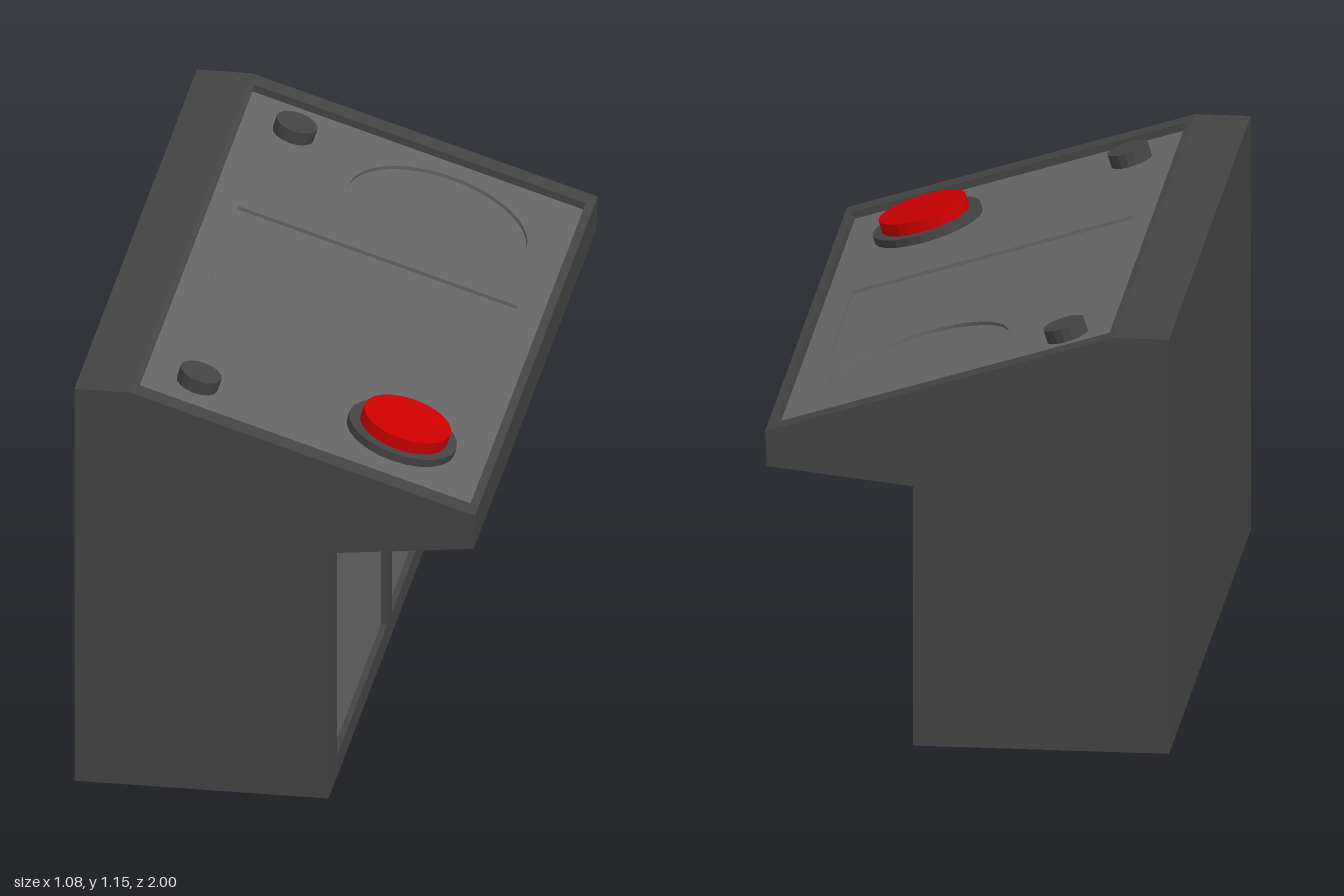
import * as THREE from 'three';

const body = new THREE.MeshStandardMaterial({ name: 'dark grey body', color: 0x444444 });
const light = new THREE.MeshStandardMaterial({ name: 'light grey panel', color: 0x666666 });
const red = new THREE.MeshStandardMaterial({ name: 'red button', color: 0xcc0000 });
body.flatShading = light.flatShading = red.flatShading = true;

// Sloped console top: s runs down the slope, d is height above it
const TOP = new THREE.Vector2(-0.39, 1.15), LIP = new THREE.Vector2(0.537, 0.86);
const ANGLE = Math.atan2(TOP.y - LIP.y, LIP.x - TOP.x);
const onSlope = (s, d) => [
  TOP.x + s * Math.cos(ANGLE) + d * Math.sin(ANGLE),
  TOP.y - s * Math.sin(ANGLE) + d * Math.cos(ANGLE),
];
const S0 = 0.016, S1 = 0.948, PANEL_Z = 0.94;
const FLOOR = -0.035, PANEL_DEPTH = -0.02;
const FRONT_X = 0.143, DOOR_DEPTH = 0.025;

// Side outline, optionally notched for the control panel and for a door
function outline(panelNotch, doorNotch) {
  const pts = [[-0.54, 0], [FRONT_X, 0]];
  if (doorNotch) {
    const x = FRONT_X - DOOR_DEPTH;
    pts.push([FRONT_X, 0.06], [x, 0.06], [x, 0.66], [FRONT_X, 0.66]);
  }
  pts.push([FRONT_X, 0.72], [0.533, 0.763], [LIP.x, LIP.y]);
  if (panelNotch) pts.push(onSlope(S1, 0), onSlope(S1, FLOOR), onSlope(S0, FLOOR), onSlope(S0, 0));
  pts.push([TOP.x, TOP.y], [-0.54, 1.15]);
  return new THREE.Shape(pts.map(p => new THREE.Vector2(...p)));
}

function add(parent, name, geometry, material) {
  const mesh = new THREE.Mesh(geometry, material);
  mesh.name = name;
  parent.add(mesh);
  return mesh;
}

const rect = (Kind, x0, x1, y0, y1) => new Kind([
  new THREE.Vector2(x0, y0), new THREE.Vector2(x1, y0),
  new THREE.Vector2(x1, y1), new THREE.Vector2(x0, y1),
]);

export function createModel() {
  const model = new THREE.Group();
  model.name = 'controlConsole';

  // Cabinet, in slices across its width
  const cabinet = new THREE.Group();
  cabinet.name = 'cabinet';
  model.add(cabinet);
  const doors = [[-0.86, -0.04], [0.04, 0.86]];
  const cuts = [-1, -PANEL_Z, ...doors.flat(), PANEL_Z, 1];
  for (let i = 0; i < cuts.length - 1; i++) {
    const mid = (cuts[i] + cuts[i + 1]) / 2;
    const shape = outline(Math.abs(mid) < PANEL_Z, doors.some(([a, b]) => mid > a && mid < b));
    const geo = new THREE.ExtrudeGeometry(shape, { depth: cuts[i + 1] - cuts[i], bevelEnabled: false });
    add(cabinet, 'cabinetSlice', geo.translate(0, 0, cuts[i]), body);
  }

  // Recessed doors
  for (const [a, b] of doors) {
    const door = add(model, 'door', new THREE.BoxGeometry(0.008, 0.6, b - a), light);
    door.position.set(FRONT_X - DOOR_DEPTH + 0.004, 0.36, (a + b) / 2);
  }

  // Everything on the slope shares its tilted frame
  const top = new THREE.Group();
  top.name = 'controlPanel';
  top.position.set(TOP.x, TOP.y, 0);
  top.rotation.z = -ANGLE;
  model.add(top);

  // Panel plate with a sunken screen and a sunken round dial
  const plate = rect(THREE.Shape, S0, S1, -PANEL_Z, PANEL_Z);
  plate.holes.push(rect(THREE.Path, 0.09, 0.875, -0.235, 0.28));
  plate.holes.push(new THREE.Path().absarc(0.593, 0.612, 0.25, 0, Math.PI * 2, true));
  const base = FLOOR + 0.005;
  const plateGeo = new THREE.ExtrudeGeometry(plate, { depth: PANEL_DEPTH - base, bevelEnabled: false, curveSegments: 32 });
  add(top, 'panelPlate', plateGeo.rotateX(-Math.PI / 2).translate(0, base, 0), light);
  const floor = add(top, 'panelFloor', new THREE.BoxGeometry(S1 - S0, 0.005, PANEL_Z * 2), light);
  floor.position.set((S0 + S1) / 2, FLOOR + 0.0025, 0);

  // Round controls standing on the plate
  function disc(name, s, z, radius, height, sides, material) {
    const h = height - PANEL_DEPTH;
    const mesh = add(top, name, new THREE.CylinderGeometry(radius, radius, h, sides), material);
    mesh.position.set(s, PANEL_DEPTH + h / 2, z);
  }
  disc('buttonCollar', 0.711, 0.67, 0.15, 0.002, 24, body);
  disc('pushButton', 0.713, 0.67, 0.121, 0.036, 24, red);
  for (const z of [-0.785, 0.78]) disc('knob', 0.157, z, 0.057, 0.017, 16, body);

  return model;
}
